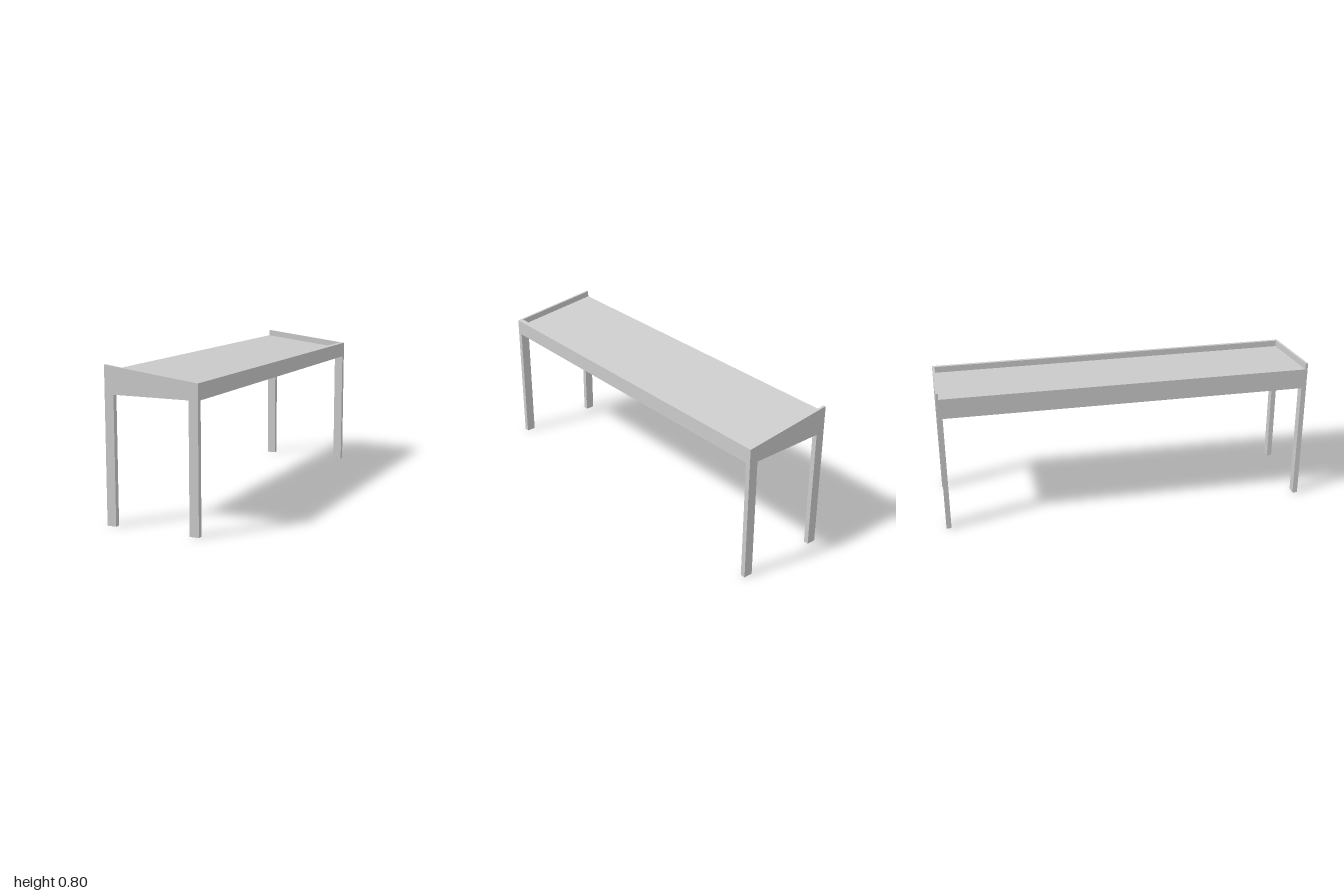
import * as THREE from 'three';

const W = 0.255, UNDER = 0.66;     // half width, underside height
const LEG_X = 0.05, LEG_Z = 0.027; // leg section
const RIM_X = 0.025, RIM_Z = 0.013; // rim thicknesses
const DEPTH = 0.034;               // tray depth below the rim
const rimY = (x) => 0.774 - (0.0615 / (2 * W)) * x; // sloping rim line

export function createModel() {
  const group = new THREE.Group();
  const material = new THREE.MeshStandardMaterial({ color: 0xcccccc, flatShading: true });

  const add = (name, geometry, x = 0, y = 0, z = 0) => {
    const mesh = new THREE.Mesh(geometry, material);
    mesh.name = name;
    mesh.position.set(x, y, z);
    group.add(mesh);
  };
  const extrude = (points, depth) => new THREE.ExtrudeGeometry(
    new THREE.Shape(points.map(([x, y]) => new THREE.Vector2(x, y))),
    { depth, bevelEnabled: false }
  );

  // Sloping top with a raised lip along its low edge
  const lip = W - RIM_X;
  const length = 2 - 2 * RIM_Z;
  add('trayTop', extrude([
    [-W, UNDER], [W, UNDER], [W, rimY(W)], [lip, rimY(lip)],
    [lip, rimY(lip) - DEPTH], [-W, rimY(-W) - DEPTH],
  ], length), 0, 0, -length / 2);

  // End boards standing above the tray
  const endProfile = [[-W, UNDER], [W, UNDER], [W, rimY(W)], [-W, rimY(-W)]];
  add('frontEndBoard', extrude(endProfile, RIM_Z), 0, 0, 1 - RIM_Z);
  add('backEndBoard', extrude(endProfile, RIM_Z), 0, 0, -1);

  // Four legs flush with the corners
  const leg = new THREE.BoxGeometry(LEG_X, UNDER, LEG_Z);
  for (const sz of [1, -1]) {
    for (const sx of [1, -1]) {
      add((sz > 0 ? 'front' : 'back') + (sx > 0 ? 'Left' : 'Right') + 'Leg', leg,
        sx * (W - LEG_X / 2), UNDER / 2, sz * (1 - LEG_Z / 2));
    }
  }
  return group;
}
